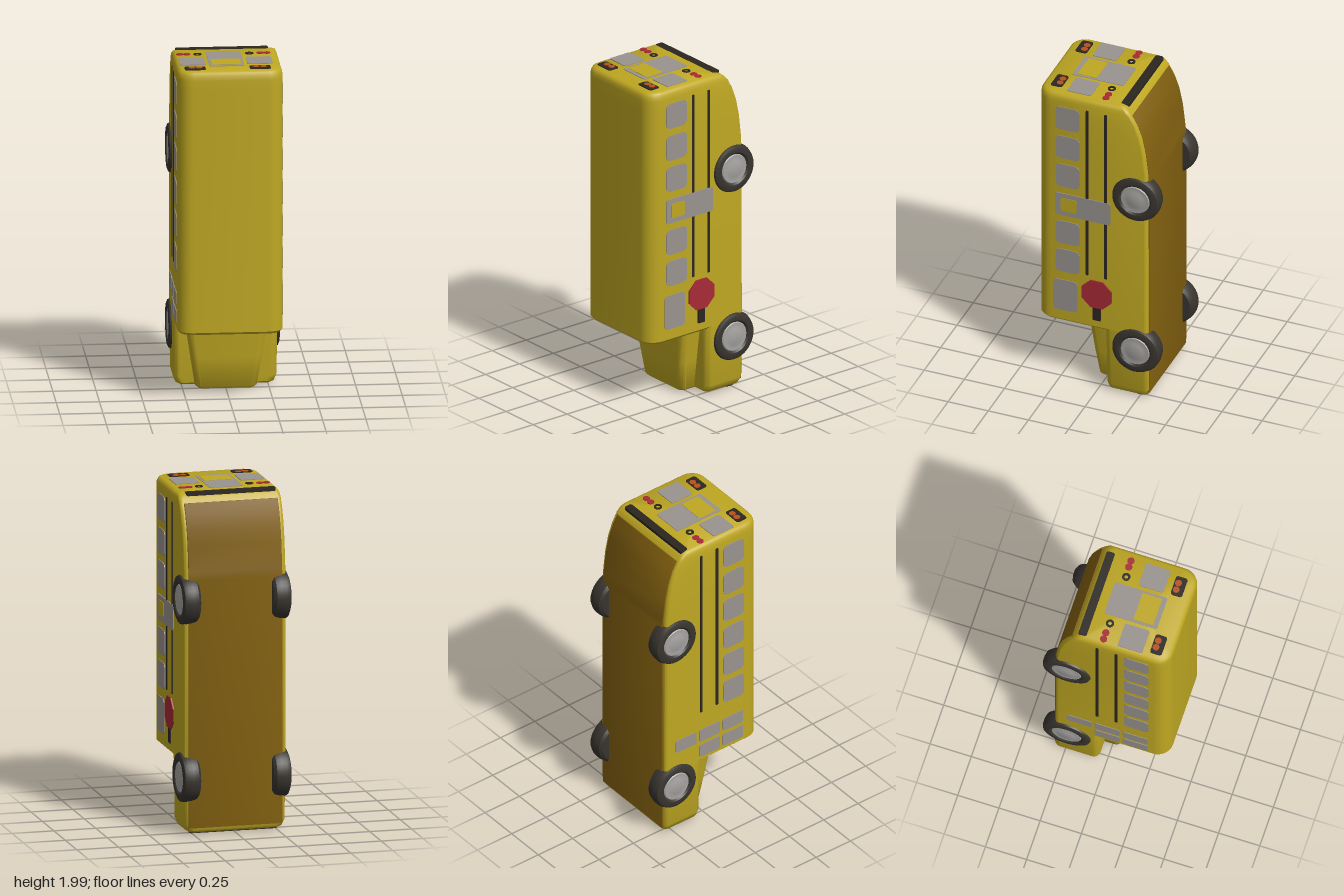
import * as THREE from 'three';
import { toCreasedNormals } from 'three/addons/utils/BufferGeometryUtils.js';

const mat = (color) => new THREE.MeshStandardMaterial({ color });
const M = {
  yellow: mat(0xbfa822), under: mat(0x82600f), glass: mat(0x99938f), dark: mat(0x2c2620),
  tyre: mat(0x38342f), hub: mat(0xa5a3a0), red: mat(0xa82a35), orange: mat(0xb8501c), shade: mat(0x4a4238),
};

// Rounded rectangle ring in the xz plane; rf rounds the +z corners, rb the -z corners
function ring([y, hw, z0, z1, rf, rb]) {
  const pts = [];
  const corners = [[1, 1, rf], [-1, 1, rf], [-1, -1, rb], [1, -1, rb]];
  corners.forEach(([sx, sz, r], k) => {
    for (let i = 0; i <= 6; i++) {
      const a = (k + i / 6) * Math.PI / 2;
      const cz = sz > 0 ? z1 - r : z0 + r;
      pts.push([sx * (hw - r) + r * Math.cos(a), y, cz + r * Math.sin(a)]);
    }
  });
  return pts;
}

// Skin stacked rings [y, halfWidth, zBack, zFront, rFront, rBack] and cap both ends
function loft(sections) {
  const rings = sections.map(ring), n = rings[0].length, pos = [], idx = [];
  rings.forEach((r) => r.forEach((p) => pos.push(...p)));
  for (let j = 0; j < rings.length - 1; j++) {
    for (let i = 0; i < n; i++) {
      const a = j * n + i, b = j * n + (i + 1) % n;
      idx.push(a, a + n, b, b, a + n, b + n);
    }
  }
  const last = (rings.length - 1) * n, c = rings.length * n;
  [sections[0], sections[sections.length - 1]].forEach((s) => pos.push(0, s[0], (s[2] + s[3]) / 2));
  for (let i = 0; i < n; i++) {
    const k = (i + 1) % n;
    idx.push(c, i, k, c + 1, last + k, last + i);
  }
  const g = new THREE.BufferGeometry();
  g.setAttribute('position', new THREE.Float32BufferAttribute(pos, 3));
  g.setIndex(idx);
  return toCreasedNormals(g, 0.75);
}

function roundedRect(w, h, r) {
  const s = new THREE.Shape(), x = w / 2, y = h / 2;
  s.absarc(x - r, y - r, r, 0, Math.PI / 2);
  s.absarc(-x + r, y - r, r, Math.PI / 2, Math.PI);
  s.absarc(-x + r, -y + r, r, Math.PI, Math.PI * 1.5);
  s.absarc(x - r, -y + r, r, Math.PI * 1.5, Math.PI * 2);
  return s;
}

function polygon(r, sides) {
  const pts = [];
  for (let i = 0; i < sides; i++) {
    const a = (i + 0.5) / sides * Math.PI * 2;
    pts.push(new THREE.Vector2(r * Math.cos(a), r * Math.sin(a)));
  }
  return new THREE.Shape(pts);
}

// Surface and rotation for each face that carries flat details
const FACES = {
  left: { rot: [0, Math.PI / 2, 0], at: (z, y, d) => [0.305 + d, y, z] },
  right: { rot: [0, -Math.PI / 2, 0], at: (z, y, d) => [-0.305 - d, y, z] },
  tail: { rot: [-Math.PI / 2, 0, 0], at: (x, z, d) => [x, 1.99 + d, z] },
  cab: { rot: [Math.PI / 2, 0, 0], at: (x, z, d) => [x, 0.42 - d, z] },
  nose: { rot: [Math.PI / 2, 0, 0], at: (x, z, d) => [x, 0.01 - d, z] },
};

export function createModel() {
  const bus = new THREE.Group();
  bus.name = 'bus';
  const add = (name, geo, material) => {
    const m = new THREE.Mesh(geo, material);
    m.name = name;
    bus.add(m);
    return m;
  };
  const detail = (name, face, u, v, shape, material, lift = 0.004, depth = 0.012) => {
    const g = new THREE.ExtrudeGeometry(shape, { depth, bevelEnabled: false, curveSegments: 6 });
    const m = add(name, g, material), f = FACES[face];
    m.rotation.set(...f.rot);
    m.position.set(...f.at(u, v, lift - depth));
  };

  // Passenger body, with the underside curving up at the tail
  const tail = [[1.55, -0.305], [1.7, -0.288], [1.8, -0.267], [1.88, -0.238], [1.94, -0.205]];
  add('body', loft([
    [0.42, 0.29, -0.3, 0.365, 0.075, 0.02],
    [0.435, 0.305, -0.31, 0.38, 0.09, 0.025],
    ...tail.map(([y, z]) => [y, 0.305, z, 0.38, 0.09, 0.025]),
    [1.965, 0.303, -0.185, 0.378, 0.09, 0.025],
    [1.982, 0.295, -0.165, 0.37, 0.085, 0.025],
    [1.99, 0.282, -0.14, 0.355, 0.075, 0.02],
  ]), M.yellow);

  // Fenders and tapering hood
  add('fenders', loft([
    [0.01, 0.265, -0.285, -0.065, 0.03, 0.03],
    [0.022, 0.285, -0.302, -0.05, 0.04, 0.035],
    [0.06, 0.3, -0.31, -0.045, 0.04, 0.03],
    [0.45, 0.305, -0.31, -0.04, 0.04, 0.025],
  ]), M.yellow);
  add('hood', loft([
    [0.01, 0.16, -0.2, 0.035, 0.03, 0.02],
    [0.025, 0.178, -0.2, 0.05, 0.04, 0.02],
    [0.2, 0.205, -0.2, 0.07, 0.04, 0.02],
    [0.43, 0.24, -0.2, 0.09, 0.04, 0.02],
  ]), M.yellow);

  // Underside skin
  add('underside', loft([[0.04, -0.307], [0.08, -0.31], [1.5, -0.31], ...tail]
    .map(([y, z]) => [y, 0.28, z - 0.005, z + 0.02, 0.004, 0.004])), M.under);

  // Wheels
  const v2 = (x, y) => new THREE.Vector2(x, y);
  const tyre = toCreasedNormals(new THREE.LatheGeometry([
    v2(0, -0.105), v2(0.125, -0.105), v2(0.142, -0.09), v2(0.149, -0.06), v2(0.149, -0.03),
    v2(0.14, -0.008), v2(0.122, 0), v2(0.1, -0.002), v2(0.09, -0.012), v2(0, -0.012)], 36), 0.6);
  const hub = toCreasedNormals(new THREE.LatheGeometry([
    v2(0.09, -0.012), v2(0.085, -0.006), v2(0.06, -0.008), v2(0.048, -0.004), v2(0, -0.003)], 28), 0.6);
  for (const [end, y] of [['front', 0.33], ['rear', 1.38]]) {
    for (const s of [1, -1]) {
      for (const [part, g, m] of [['Tyre', tyre, M.tyre], ['Hub', hub, M.hub]]) {
        const w = add(end + part, g, m);
        w.rotation.z = -s * Math.PI / 2;
        w.position.set(s * 0.323, y, -0.235);
      }
    }
  }

  // Side windows and stripes
  const pane = roundedRect(0.15, 0.155, 0.03);
  for (const side of ['left', 'right']) {
    for (const y of [1.83, 1.63, 1.435, 1.04, 0.845]) detail('sideWindow', side, 0.187, y, pane, M.glass);
    for (const z of [0.065, -0.05]) detail('stripe', side, z, 1.35, roundedRect(0.016, 1.14, 0.004), M.dark);
  }
  detail('sideWindow', 'right', 0.187, 1.235, pane, M.glass);

  // Left side: emergency door, driver window and stop sign
  detail('emergencyDoor', 'left', 0.092, 1.235, roundedRect(0.345, 0.15, 0.015), M.glass, 0.005);
  detail('emergencyDoorPanel', 'left', 0.18, 1.235, roundedRect(0.1, 0.09, 0.015), M.yellow, 0.007);
  detail('driverWindow', 'left', 0.2, 0.605, roundedRect(0.15, 0.21, 0.025), M.glass);
  detail('stopSign', 'left', 0.005, 0.66, polygon(0.1, 8), M.red, 0.008);
  detail('stopSignArm', 'left', 0.005, 0.53, roundedRect(0.05, 0.1, 0.006), M.dark, 0.006);

  // Right side: folding entrance door
  for (const y of [0.5, 0.61]) {
    for (const z of [0.18, 0.01, -0.16]) {
      if (z > -0.1 || y > 0.55) detail('entranceDoorPane', 'right', z, y, roundedRect(0.15, 0.085, 0.012), M.glass);
    }
  }

  // Tail: door, windows, lamps and bumper
  detail('rearDoor', 'tail', -0.012, 0.088, roundedRect(0.2, 0.32, 0.01), M.glass, 0.003);
  detail('rearDoorPanel', 'tail', -0.012, 0.16, roundedRect(0.17, 0.12, 0.008), M.yellow, 0.005);
  for (const s of [1, -1]) {
    const x = (d) => -0.012 + s * d;
    detail('rearWindow', 'tail', x(0.195), 0.138, roundedRect(0.145, 0.15, 0.012), M.glass);
    detail('signalLampHousing', 'tail', x(0.188), 0.288, roundedRect(0.12, 0.07, 0.015), M.dark);
    for (const d of [0.165, 0.207]) detail('signalLamp', 'tail', x(d), 0.278, polygon(0.02, 16), M.orange, 0.006);
    for (const d of [0.212, 0.252]) detail('tailLamp', 'tail', x(d), -0.025, polygon(0.021, 16), M.red);
    const reflector = polygon(0.024, 16);
    reflector.holes.push(polygon(0.011, 16));
    detail('reflector', 'tail', x(0.15), -0.02, reflector, M.dark);
  }
  detail('rearBumper', 'tail', -0.012, -0.15, roundedRect(0.535, 0.05, 0.012), M.dark, 0.002, 0.03);

  // Front: windshield, grille, lamps and bumper
  for (const s of [1, -1]) {
    detail('windshield', 'cab', s * 0.13, 0.215, roundedRect(0.24, 0.18, 0.025), M.shade);
    detail('headlamp', 'nose', s * 0.215, -0.13, polygon(0.035, 16), M.hub);
  }
  detail('grille', 'nose', 0, -0.07, roundedRect(0.26, 0.16, 0.02), M.shade);
  detail('frontBumper', 'nose', 0, -0.245, roundedRect(0.52, 0.05, 0.012), M.dark, 0.008, 0.02);

  return bus;
}
